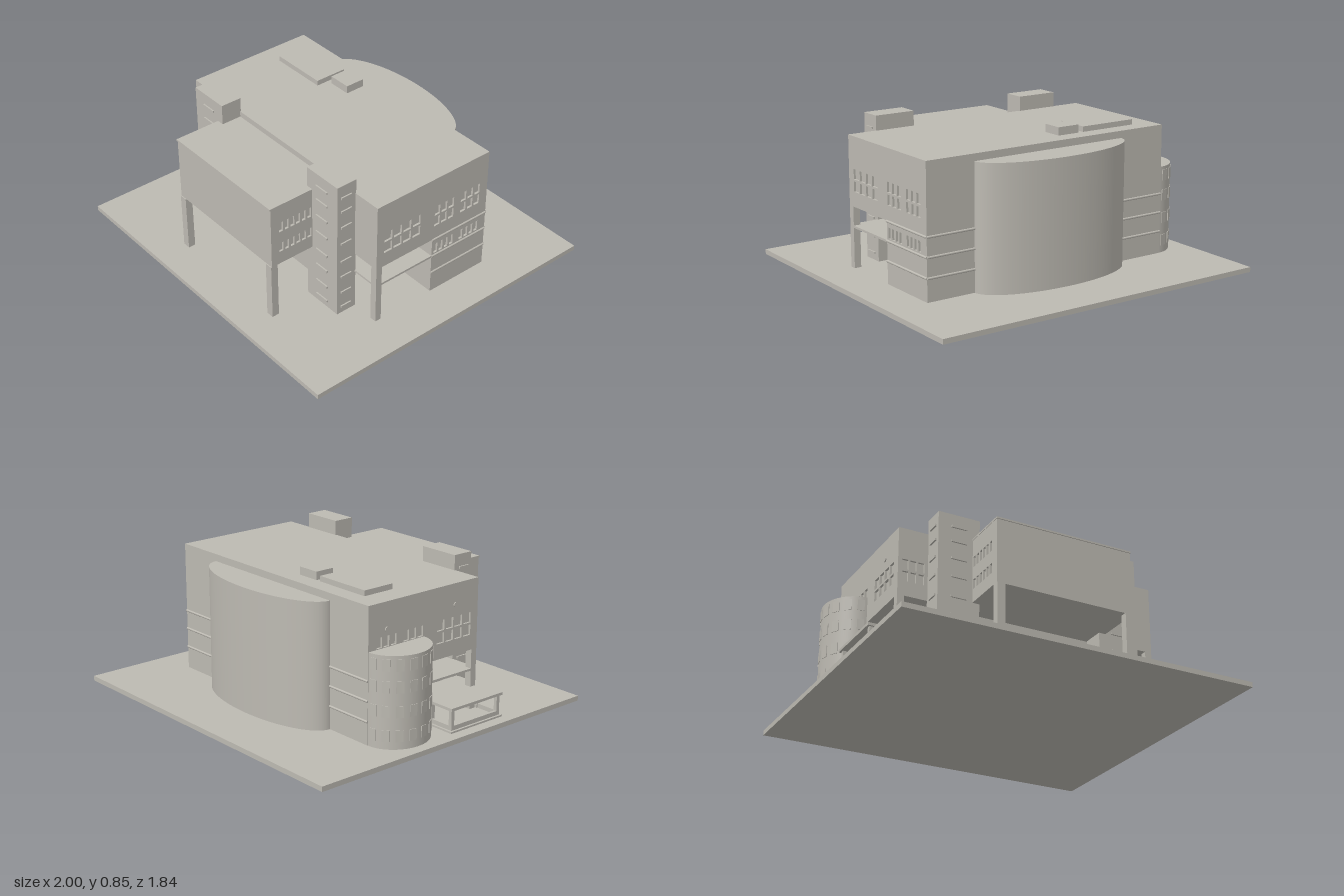
import * as THREE from 'three';

const stone = new THREE.MeshStandardMaterial({ color: 0xbdbab2 });
stone.name = 'pale stone';
const SKIN = 0.012;
const GROUND = 0.028;

export function createModel() {
  const root = new THREE.Group();

  const add = (name, geometry, parent = root) => {
    const m = new THREE.Mesh(geometry, stone);
    m.name = name;
    parent.add(m);
    return m;
  };

  // Box given by its limits on each axis
  const box = (name, x0, x1, y0, y1, z0, z1) => {
    const m = add(name, new THREE.BoxGeometry(x1 - x0, y1 - y0, z1 - z0));
    m.position.set((x0 + x1) / 2, (y0 + y1) / 2, (z0 + z1) / 2);
    return m;
  };

  const rectPath = (T, a, b, c, d) => {
    const p = new T();
    p.moveTo(a, c);
    p.lineTo(b, c);
    p.lineTo(b, d);
    p.lineTo(a, d);
    p.closePath();
    return p;
  };

  // Thin wall skin with window holes, all as [u0, u1, y0, y1]
  const skin = (name, rect, holes) => {
    const s = rectPath(THREE.Shape, ...rect);
    holes.forEach(h => s.holes.push(rectPath(THREE.Path, ...h)));
    return add(name, new THREE.ExtrudeGeometry(s, { depth: SKIN, bevelEnabled: false }));
  };

  // Skin on a wall facing +x or -x, with its spans given in z
  const sideSkin = (name, side, x, rect, holes) => {
    const turn = ([a, b, c, d]) => (side > 0 ? [-b, -a, c, d] : [a, b, c, d]);
    const m = skin(name, turn(rect), holes.map(turn));
    m.rotation.y = side * Math.PI / 2;
    m.position.x = side * (x - SKIN);
  };

  // Even grid of windows inside a rectangle
  const grid = (a, b, c, d, cols, rows, gap) => {
    const out = [], w = (b - a + gap) / cols, h = (d - c + gap) / rows;
    for (let i = 0; i < cols; i++)
      for (let j = 0; j < rows; j++)
        out.push([a + i * w, a + (i + 1) * w - gap, c + j * h, c + (j + 1) * h - gap]);
    return out;
  };

  box('groundSlab', -1, 1, 0, GROUND, -0.92, 0.92);

  // Main hall: upper storeys over a rear ground floor, open at the front
  box('upperHall', -0.758, 0.758, 0.375, 0.765, -0.425, 0.333);
  box('rearGroundFloor', -0.758, 0.758, GROUND, 0.375, -0.425, -0.04);
  for (const s of [-1, 1]) {
    sideSkin('upperSideWall', s, 0.77, [-0.425, 0.345, 0.375, 0.765], [
      ...grid(0.05, 0.295, 0.46, 0.585, 4, 2, 0.012),
      ...grid(-0.185, -0.05, 0.46, 0.585, 3, 2, 0.012),
      ...grid(-0.37, -0.235, 0.46, 0.585, 3, 2, 0.012)]);
    sideSkin('lowerSideWall', s, 0.77, [-0.425, -0.04, GROUND, 0.375], [
      ...grid(-0.19, -0.055, 0.28, 0.34, 4, 1, 0.012),
      ...grid(-0.37, -0.235, 0.28, 0.34, 4, 1, 0.012)]);
    const a = s > 0 ? 0.73 : -0.77;
    box('cornerColumn', a, a + 0.04, GROUND, 0.375, 0.308, 0.345);
  }
  skin('upperFrontWall', [-0.758, 0.758, 0.375, 0.765],
    grid(-0.745, -0.62, 0.46, 0.585, 3, 2, 0.012)).position.z = 0.333;

  // Mezzanine floor and the rooms set back beneath the hall
  box('mezzanineFloor', -0.77, 0.77, 0.256, 0.268, -0.04, 0.345);
  box('mezzanineRoom', -0.438, 0.438, 0.268, 0.375, -0.04, 0.31);
  for (const s of [-1, 1])
    sideSkin('mezzanineWindows', s, 0.45, [-0.04, 0.31, 0.268, 0.375],
      grid(0.0, 0.295, 0.28, 0.34, 8, 1, 0.012));
  box('entranceRoom', -0.6, 0, GROUND, 0.256, -0.04, 0.27);
  box('entranceLowWall', -0.4, 0.4, GROUND, 0.16, 0.3, 0.345);

  // String courses around the rear
  for (const y of [0.155, 0.265, 0.372]) {
    const rear = add('rearStringCourse', new THREE.CylinderGeometry(0.007, 0.007, 1.54, 10));
    rear.rotation.z = Math.PI / 2;
    rear.position.set(0, y, -0.425);
    const flank = add('sideStringCourse', new THREE.CylinderGeometry(0.007, 0.007, 0.385, 10));
    flank.rotation.x = Math.PI / 2;
    flank.position.set(0.77, y, -0.2325);
  }

  // Projecting front hall on two columns
  box('frontHall', -0.388, 0.388, 0.36, 0.725, 0.333, 0.73);
  box('frontHallRoof', -0.402, 0.402, 0.722, 0.732, 0.333, 0.735);
  for (const s of [-1, 1]) {
    sideSkin('frontHallSide', s, 0.4, [0.345, 0.73, 0.36, 0.722], [
      ...grid(0.47, 0.678, 0.435, 0.49, 6, 1, 0.012),
      ...grid(0.47, 0.678, 0.562, 0.62, 6, 1, 0.012)]);
    const a = s > 0 ? 0.355 : -0.4;
    box('frontColumn', a, a + 0.045, GROUND, 0.36, 0.693, 0.735);
  }

  // Stair towers with thin ledges on front and outer side
  for (const s of [-1, 1]) {
    const lo = s > 0 ? 0.36 : -0.6;
    box('stairTower', lo, lo + 0.24, GROUND, 0.848, 0.34, 0.463);
    for (const y of [0.07, 0.165, 0.27, 0.37, 0.485, 0.59, 0.69, 0.775]) {
      const c = s * 0.48;
      box('towerFrontLedge', c - 0.045, c + 0.045, y - 0.006, y + 0.006, 0.46, 0.471);
      const x = s * 0.602;
      box('towerSideLedge', x - 0.006, x + 0.006, y - 0.006, y + 0.006, 0.372, 0.44);
    }
  }

  // Curved rear auditorium
  const bow = new THREE.Shape();
  bow.absellipse(0, 0, 0.48, 0.19, 0, Math.PI, false);
  bow.closePath();
  const apse = add('rearAuditorium', new THREE.ExtrudeGeometry(bow,
    { depth: 0.725 - GROUND, bevelEnabled: false, curveSegments: 48 }));
  apse.rotation.x = -Math.PI / 2;
  apse.position.set(0, GROUND, -0.425);

  // Round stair bay on the right flank
  const bay = new THREE.Group();
  bay.name = 'roundBay';
  bay.position.set(-0.77, 0, -0.2325);
  bay.scale.x = 0.9;
  root.add(bay);
  const drum = add('bayDrum', new THREE.CylinderGeometry(0.19, 0.19, 0.525 - GROUND, 48, 1, false, Math.PI, Math.PI), bay);
  drum.position.y = (0.525 + GROUND) / 2;
  for (const y of [0.1, 0.23, 0.36, 0.475])
    for (let i = 0; i < 8; i++) {
      const a = Math.PI * (1 + (i + 0.5) / 8);
      const w = add('bayWindow', new THREE.BoxGeometry(0.042, 0.062, 0.006), bay);
      w.position.set(Math.sin(a) * 0.19, y, Math.cos(a) * 0.19);
      w.rotation.y = a;
    }

  // Low open pavilion on the right
  box('pavilionRoof', -0.937, -0.6, 0.15, 0.165, 0.003, 0.38);
  box('pavilionFloor', -0.937, -0.6, GROUND, 0.038, 0.003, 0.38);
  box('pavilionFrontSill', -0.925, -0.6, GROUND, 0.062, 0.355, 0.37);
  box('pavilionSideSill', -0.925, -0.91, GROUND, 0.062, 0.015, 0.37);
  box('pavilionRearSill', -0.925, -0.6, GROUND, 0.062, 0.015, 0.03);
  for (const x of [-0.925, -0.782, -0.62])
    for (const z of [0.015, 0.35])
      box('pavilionPost', x, x + 0.02, GROUND, 0.15, z, z + 0.02);

  // Round vents high on the right wall
  for (const [y, z] of [[0.62, -0.3], [0.65, 0.18]]) {
    const vent = add('roundVent', new THREE.CylinderGeometry(0.014, 0.014, 0.008, 20));
    vent.rotation.z = Math.PI / 2;
    vent.position.set(-0.772, y, z);
  }

  // Rooftop plant
  box('roofPlatform', -0.635, -0.293, 0.765, 0.795, -0.33, -0.14);
  box('roofHatch', -0.262, -0.128, 0.765, 0.81, -0.33, -0.215);

  return root;
}
